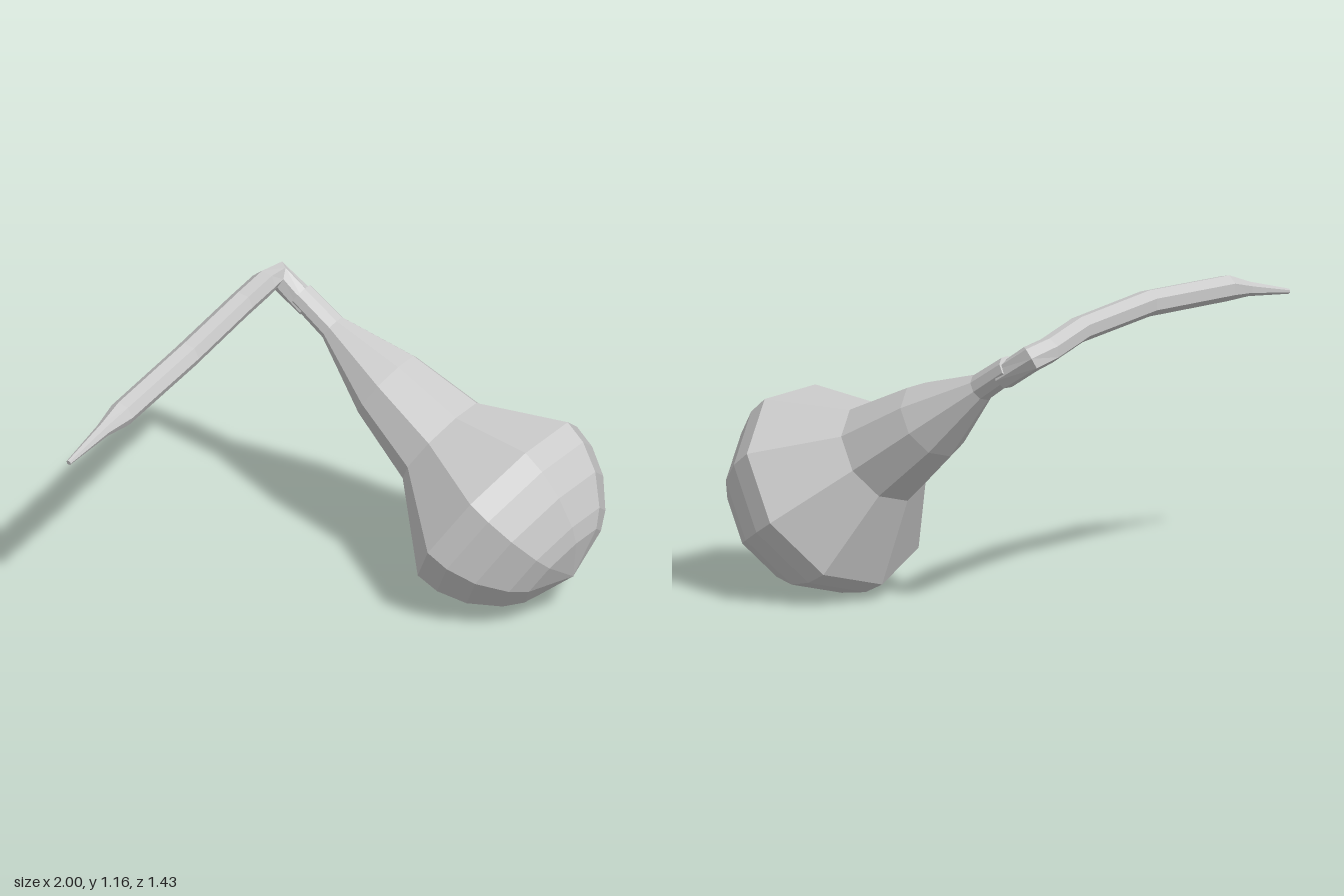
import * as THREE from 'three';

const grey = () => new THREE.MeshStandardMaterial({ color: 0xcccccc, flatShading: true });

// Faceted tube through [x, y, z, radius] rings, capped at both ends
function sweep(rings, sides) {
  const centres = rings.map(([x, y, z]) => new THREE.Vector3(x, y, z));
  const dirs = centres.slice(1).map((c, i) => c.clone().sub(centres[i]).normalize());
  const last = rings.length - 1;
  const pos = [], index = [];
  let side = new THREE.Vector3(0, 0.84, 0.55);
  rings.forEach((ring, i) => {
    const a = dirs[Math.max(i - 1, 0)], b = dirs[Math.min(i, last - 1)];
    const t = a.clone().add(b).normalize();
    side = side.clone().addScaledVector(t, -side.dot(t)).normalize();
    const other = t.clone().cross(side);
    for (let k = 0; k < sides; k++) {
      const ang = (k / sides) * Math.PI * 2;
      const p = centres[i].clone()
        .addScaledVector(side, Math.cos(ang) * ring[3])
        .addScaledVector(other, Math.sin(ang) * ring[3]);
      pos.push(p.x, p.y, p.z);
    }
  });
  for (let i = 0; i < last; i++) {
    for (let k = 0; k < sides; k++) {
      const n = (k + 1) % sides;
      const a = i * sides + k, b = i * sides + n, c = a + sides, d = b + sides;
      index.push(a, b, d, a, d, c);
    }
  }
  for (let k = 1; k < sides - 1; k++) {
    index.push(0, k + 1, k);
    index.push(last * sides, last * sides + k, last * sides + k + 1);
  }
  const geo = new THREE.BufferGeometry();
  geo.setAttribute('position', new THREE.Float32BufferAttribute(pos, 3));
  geo.setIndex(index);
  geo.computeVertexNormals();
  return geo;
}

export function createModel() {
  const group = new THREE.Group();
  group.name = 'gourdWithStem';

  // Gourd body: nine-sided lathe, [radius, distance along the axis]
  const profile = [
    [0, -0.41], [0.2, -0.352], [0.268, -0.306], [0.356, -0.203], [0.404, -0.093], [0.415, 0],
    [0.204, 0.3], [0.153, 0.593], [0.054, 0.889], [0.05, 1.06], [0, 1.06],
  ].map(([r, t]) => new THREE.Vector2(r, t));
  const body = new THREE.Mesh(
    new THREE.LatheGeometry(profile, 9, THREE.MathUtils.degToRad(24)), grey());
  body.name = 'gourdBody';

  // Lean the body's axis up and back
  const axis = new THREE.Vector3(-0.052, 0.547, -0.836).normalize();
  const across = new THREE.Vector3(1, 0, 0).addScaledVector(axis, -axis.x).normalize();
  const up = across.clone().cross(axis);
  body.quaternion.setFromRotationMatrix(new THREE.Matrix4().makeBasis(across, axis, up));
  body.position.set(0.597, 0.415, 0.313);
  group.add(body);

  // Stem: continues the neck, then bends sharply into a long tapering stalk
  const stem = new THREE.Mesh(sweep([
    [0.545, 0.957, -0.54, 0.05],
    [0.532, 1.045, -0.675, 0.052],
    [0.43, 1.06, -0.663, 0.05],
    [0.21, 1.096, -0.6, 0.05],
    [-0.225, 1.115, -0.51, 0.051],
    [-0.68, 1.095, -0.46, 0.05],
    [-0.79, 1.075, -0.462, 0.028],
    [-1, 1.033, -0.46, 0.01],
  ], 7), grey());
  stem.name = 'stem';
  group.add(stem);

  return group;
}
